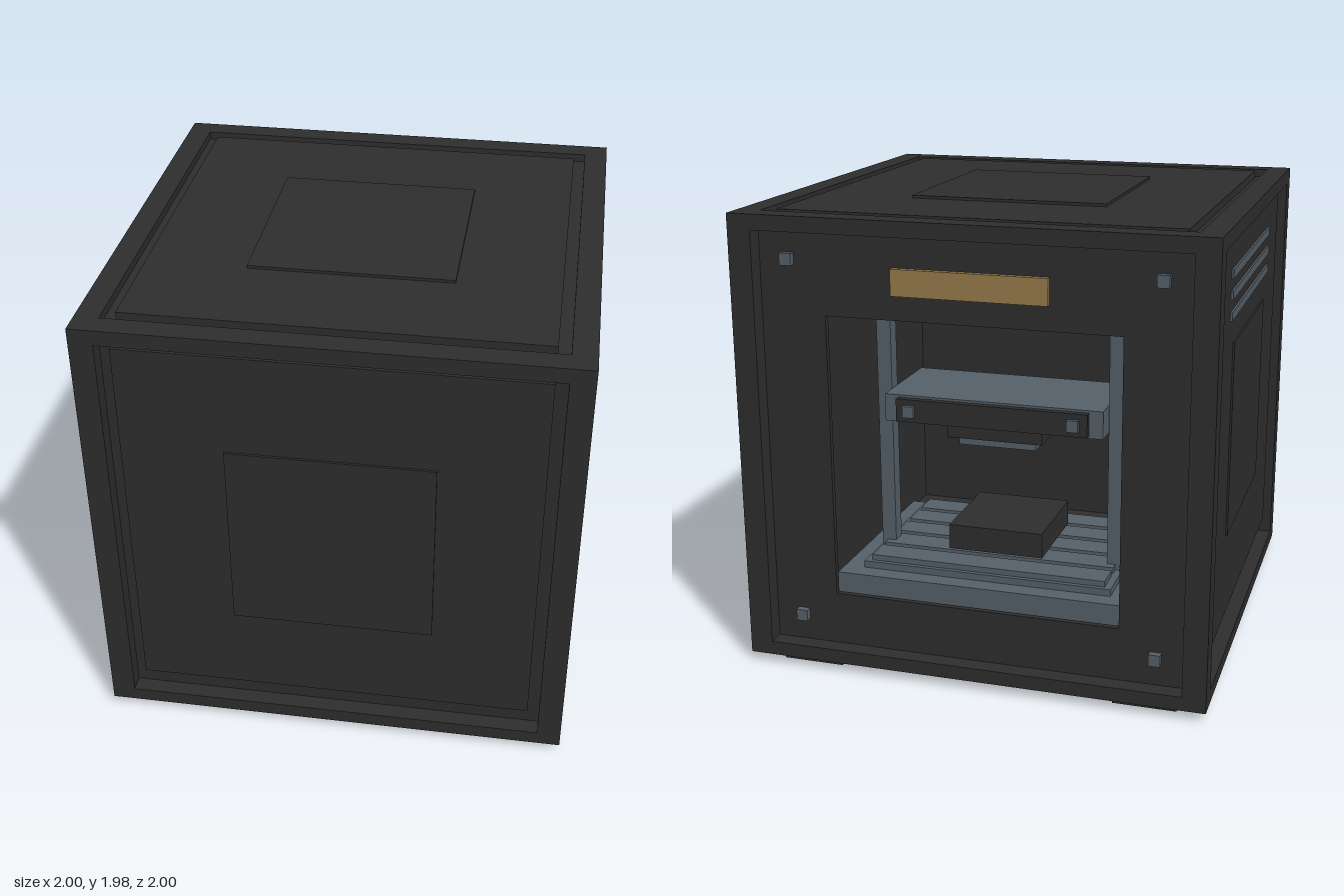
import * as THREE from 'three';

const charcoal = new THREE.MeshStandardMaterial({ name: 'charcoal', color: 0x2e2e2e });
const steel = new THREE.MeshStandardMaterial({ name: 'steel', color: 0x56616a });
const brass = new THREE.MeshStandardMaterial({ name: 'brass', color: 0x9a7d4e });

export function createModel() {
  const model = new THREE.Group();
  model.name = 'enclosedMachine';

  // box given by its minimum and maximum corners
  function block(name, mat, x0, x1, y0, y1, z0, z1, parent = model) {
    const mesh = new THREE.Mesh(new THREE.BoxGeometry(x1 - x0, y1 - y0, z1 - z0), mat);
    mesh.position.set((x0 + x1) / 2, (y0 + y1) / 2, (z0 + z1) / 2);
    mesh.name = name;
    parent.add(mesh);
    return mesh;
  }
  // box centred on x
  const centred = (name, mat, half, y0, y1, z0, z1) => block(name, mat, -half, half, y0, y1, z0, z1);

  // frame bars along the twelve edges
  const bottom = 0.04, top = 1.965, innerLow = 0.1, innerHigh = 1.9;
  for (const s of [-1, 1]) {
    const [a, b] = s < 0 ? [-1, -0.9] : [0.9, 1];
    for (const [z0, z1] of [[-1, -0.9], [0.9, 1]]) block('framePost', charcoal, a, b, bottom, top, z0, z1);
    for (const [y0, y1] of [[bottom, innerLow], [innerHigh, top]]) {
      block('frameSideBar', charcoal, a, b, y0, y1, -0.9, 0.9);
      block('frameCrossBar', charcoal, -0.9, 0.9, y0, y1, a, b);
    }
  }

  // side walls: backing, raised panel, thin centre plate, vent strips
  for (const s of [-1, 1]) {
    const wall = (name, mat, d0, d1, y0, y1, half) =>
      block(name, mat, Math.min(s * d0, s * d1), Math.max(s * d0, s * d1), y0, y1, -half, half);
    wall('sideWall', charcoal, 0.9, 0.93, innerLow, innerHigh, 0.9);
    wall('sidePanel', charcoal, 0.93, 0.965, 0.19, 1.87, 0.85);
    wall('sidePlate', charcoal, 0.965, 0.973, 0.58, 1.43, 0.425);
    for (const y of [1.735, 1.647, 1.56]) wall('ventStrip', steel, 0.965, 0.974, y - 0.018, y + 0.018, 0.525);
  }

  // closed front wall
  centred('frontWall', charcoal, 0.9, innerLow, innerHigh, 0.9, 0.93);
  centred('frontPanel', charcoal, 0.85, 0.19, 1.87, 0.93, 0.965);
  centred('frontPlate', charcoal, 0.425, 0.58, 1.43, 0.965, 0.975);

  // roof and floor
  centred('roof', charcoal, 0.9, 1.9, 1.93, -0.9, 0.9);
  centred('roofPanel', charcoal, 0.85, 1.93, 1.965, -0.85, 0.85);
  centred('roofPlate', charcoal, 0.425, 1.965, 1.977, -0.425, 0.425);
  centred('floor', charcoal, 0.9, 0.075, 0.105, -0.9, 0.9);
  centred('floorPanel', charcoal, 0.85, 0.04, 0.075, -0.85, 0.85);
  centred('floorPlate', charcoal, 0.425, 0.029, 0.04, -0.425, 0.425);
  for (const s of [-1, 1]) block('footRail', charcoal, s * 0.735 - 0.135, s * 0.735 + 0.135, 0, 0.04, -0.94, 0.94);

  // back wall with the working window
  const shape = new THREE.Shape([
    new THREE.Vector2(-0.9, innerLow), new THREE.Vector2(0.9, innerLow),
    new THREE.Vector2(0.9, innerHigh), new THREE.Vector2(-0.9, innerHigh)]);
  shape.holes.push(new THREE.Path([
    new THREE.Vector2(-0.62, 0.33), new THREE.Vector2(-0.62, 1.55),
    new THREE.Vector2(0.62, 1.55), new THREE.Vector2(0.62, 0.33)]));
  const back = new THREE.Mesh(new THREE.ExtrudeGeometry(shape, { depth: 0.025, bevelEnabled: false }), charcoal);
  back.position.z = -0.925;
  back.name = 'backWindowWall';
  model.add(back);
  for (const x of [-0.775, 0.775]) for (const y of [0.22, 1.78])
    block('cornerBolt', steel, x - 0.025, x + 0.025, y - 0.025, y + 0.025, -0.955, -0.925);
  centred('namePlate', brass, 0.325, 1.655, 1.765, -0.95, -0.925);

  // machine base and slotted bed
  centred('machineBase', steel, 0.64, 0.28, 0.4, -0.86, 0.05);
  centred('bedPlate', steel, 0.55, 0.4, 0.43, -0.78, 0);
  for (let i = 0; i < 5; i++) {
    const z = -0.76 + i * 0.15;
    centred('bedSlat', steel, 0.52, 0.43, 0.455, z, z + 0.12);
  }
  centred('workpiece', charcoal, 0.21, 0.47, 0.58, -0.63, -0.2);

  // columns with caps
  for (const s of [-1, 1]) {
    const x = s * 0.515;
    block('column', steel, x - 0.032, x + 0.032, 0.4, 1.52, -0.572, -0.508);
    block('columnCap', steel, x - 0.065, x + 0.065, 1.5, 1.6, -0.605, -0.475);
  }

  // gantry, dark rail with bolts, hanging head
  centred('gantry', steel, 0.48, 1.04, 1.16, -0.66, -0.22);
  centred('gantryRail', charcoal, 0.42, 1.05, 1.15, -0.69, -0.66);
  for (const x of [-0.36, 0.36]) block('railBolt', steel, x - 0.025, x + 0.025, 1.075, 1.125, -0.71, -0.69);
  centred('headCarriage', charcoal, 0.21, 0.98, 1.04, -0.63, -0.26);
  centred('headPlate', steel, 0.17, 0.94, 0.98, -0.59, -0.3);

  return model;
}
